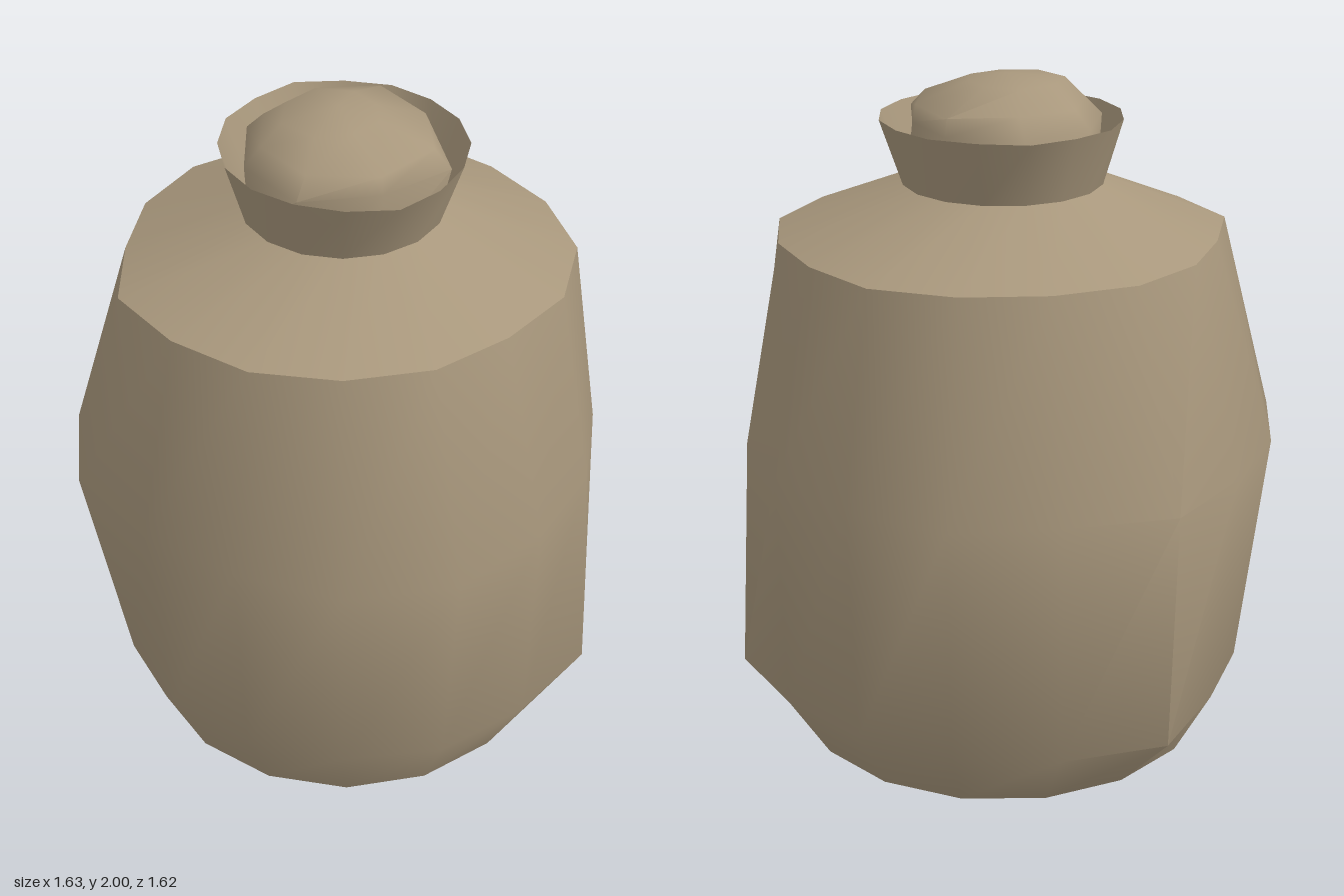
import * as THREE from 'three';
import { toCreasedNormals } from 'three/addons/utils/BufferGeometryUtils.js';

// Skin a stack of rings. Each ring is { y, x, z, r }, r being one radius or one per side.
function skinRings(rings, sides, { bottom = false, top = null, crease = 0.75 } = {}) {
  const pos = [], idx = [];
  for (const { y, x = 0.01, z = -0.03, r } of rings) {
    for (let k = 0; k < sides; k++) {
      const a = (k / sides) * Math.PI * 2;
      const rad = Array.isArray(r) ? r[k] : r;
      pos.push(x + Math.cos(a) * rad, y, z + Math.sin(a) * rad);
    }
  }
  for (let i = 0; i < rings.length - 1; i++) {
    for (let k = 0; k < sides; k++) {
      const n = (k + 1) % sides, a = i * sides, b = a + sides;
      idx.push(a + k, b + k, a + n, a + n, b + k, b + n);
    }
  }
  if (bottom) {
    const c = pos.length / 3;
    pos.push(0.01, rings[0].y, 0);
    for (let k = 0; k < sides; k++) idx.push(c, k, (k + 1) % sides);
  }
  if (top) {
    const c = pos.length / 3, b = (rings.length - 1) * sides;
    pos.push(...top);
    for (let k = 0; k < sides; k++) idx.push(c, b + ((k + 1) % sides), b + k);
  }
  const g = new THREE.BufferGeometry();
  g.setAttribute('position', new THREE.Float32BufferAttribute(pos, 3));
  g.setIndex(idx);
  return toCreasedNormals(g, crease);
}

export function createModel() {
  const group = new THREE.Group();
  const cloth = new THREE.MeshStandardMaterial({ color: 0xa8977c, side: THREE.DoubleSide });
  cloth.name = 'tan cloth';
  const add = (name, geometry) => {
    const mesh = new THREE.Mesh(geometry, cloth);
    mesh.name = name;
    group.add(mesh);
  };

  // Bulging, slightly uneven sack with sloping shoulders
  const low = [0.805, 0.77, 0.81, 0.77, 0.77, 0.75, 0.74, 0.73, 0.71, 0.72, 0.73, 0.82, 0.78, 0.77, 0.75, 0.76];
  const belly = [0.765, 0.76, 0.77, 0.79, 0.84, 0.83, 0.785, 0.79, 0.83, 0.8, 0.79, 0.84, 0.78, 0.81, 0.78, 0.775];
  const shoulder = [0.65, 0.67, 0.66, 0.63, 0.64, 0.64, 0.65, 0.65, 0.67, 0.62, 0.63, 0.64, 0.63, 0.64, 0.66, 0.64];
  add('sackBody', skinRings([
    { y: 0, z: 0, r: 0.625 },
    { y: 0.23, r: low },
    { y: 0.94, r: belly },
    { y: 1.54, r: shoulder },
    { y: 1.69, r: 0.29 },
  ], 16, { bottom: true }));

  // Flared open mouth above the tied neck
  add('sackMouth', skinRings([
    { y: 1.69, r: 0.29 },
    { y: 1.88, x: 0.015, r: [0.35, 0.35, 0.35, 0.36, 0.38, 0.36, 0.35, 0.35, 0.35, 0.35, 0.36, 0.36, 0.38, 0.36, 0.36, 0.35] },
  ], 16));

  // Lumpy contents showing in the mouth
  add('sackContents', skinRings([
    { y: 1.69, r: 0.28 },
    { y: 1.87, r: [0.26, 0.32, 0.28, 0.32, 0.29, 0.29, 0.29, 0.29] },
    { y: 1.92, r: [0.25, 0.27, 0.27, 0.26, 0.24, 0.24, 0.22, 0.28] },
    { y: 1.98, x: -0.01, r: [0.12, 0.13, 0.13, 0.15, 0.16, 0.15, 0.15, 0.13] },
  ], 8, { top: [0, 2, -0.03], crease: 1.2 }));

  return group;
}
